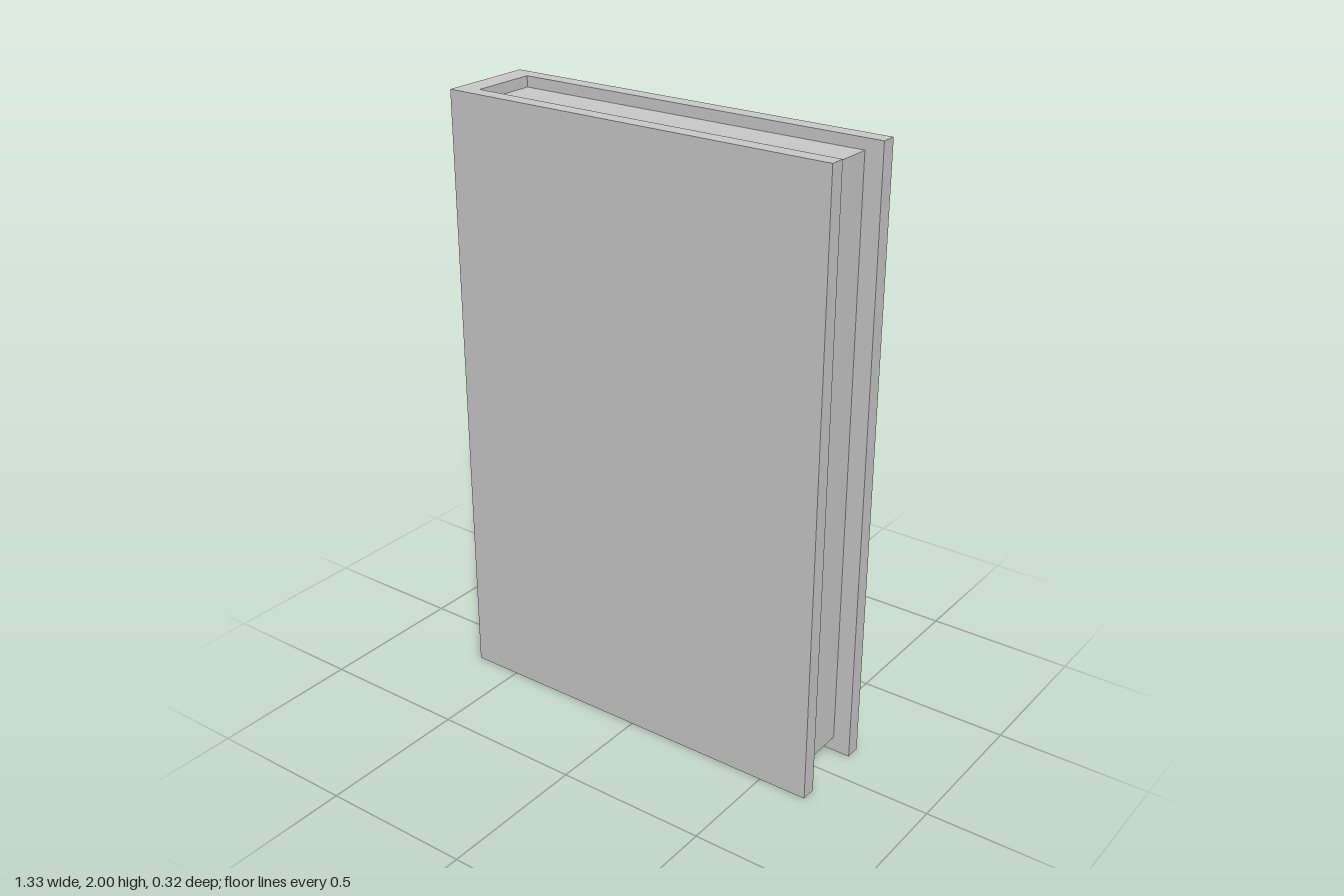
import * as THREE from 'three';

export function createModel() {
  const model = new THREE.Group();
  model.name = 'book';
  const material = new THREE.MeshStandardMaterial({ color: 0xcccccc, flatShading: true });

  // Cover: one U-shaped outline (spine and two boards) extruded upwards
  const outer = 0.158, inner = 0.108, back = -0.663, front = 0.663, spine = -0.59;
  const outline = new THREE.Shape([
    [back, -outer], [front, -outer], [front, -inner], [spine, -inner],
    [spine, inner], [front, inner], [front, outer], [back, outer],
  ].map(([x, y]) => new THREE.Vector2(x, y)));
  const coverGeometry = new THREE.ExtrudeGeometry(outline, { depth: 2, bevelEnabled: false });
  coverGeometry.rotateX(-Math.PI / 2);
  const cover = new THREE.Mesh(coverGeometry, material);
  cover.name = 'cover';

  // Page block: set in from the cover's top, bottom and fore edge
  const bottom = 0.05, top = 1.965, foreEdge = 0.605;
  const pages = new THREE.Mesh(
    new THREE.BoxGeometry(foreEdge - spine, top - bottom, inner * 2), material);
  pages.name = 'pages';
  pages.position.set((foreEdge + spine) / 2, (top + bottom) / 2, 0);

  model.add(cover, pages);
  return model;
}
